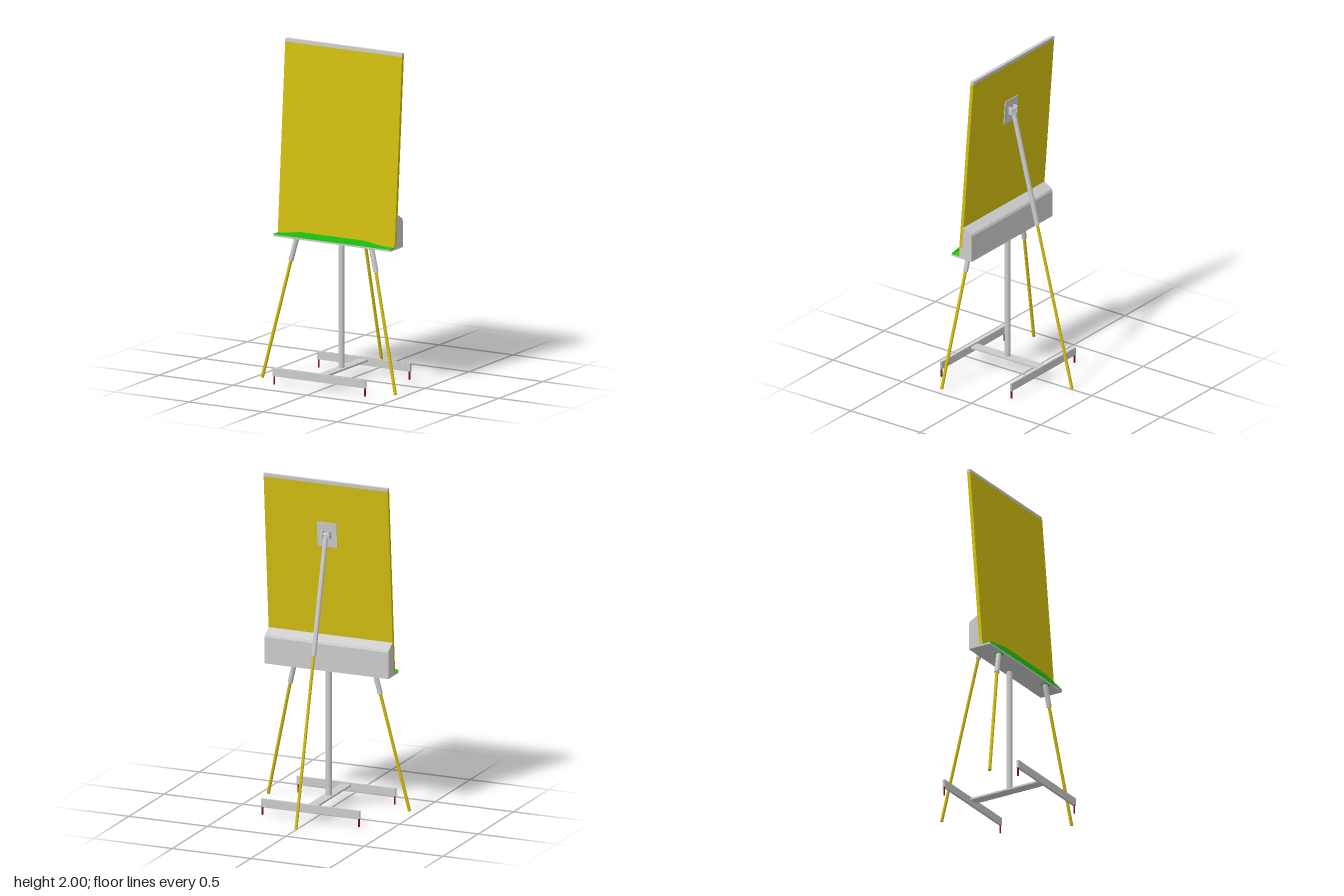
import * as THREE from 'three';

const mat = (color) => new THREE.MeshStandardMaterial({ color, side: THREE.DoubleSide });

export function createModel() {
  const model = new THREE.Group();
  const grey = mat(0xcccccc), yellow = mat(0xd2be10), green = mat(0x20d010), red = mat(0x8a1010);
  const W = 0.79;

  const add = (name, geometry, material) => {
    const mesh = new THREE.Mesh(geometry, material);
    mesh.name = name;
    model.add(mesh);
    return mesh;
  };
  const box = (name, material, w, h, d, x, y, z) =>
    add(name, new THREE.BoxGeometry(w, h, d).translate(x, y, z), material);
  // Side profile given as [z, y] pairs, swept across x
  const sweep = (name, material, points, width) => {
    const shape = new THREE.Shape(points.map(([z, y]) => new THREE.Vector2(z, y)));
    const g = new THREE.ExtrudeGeometry(shape, { depth: width, bevelEnabled: false });
    return add(name, g.rotateY(-Math.PI / 2).translate(width / 2, 0, 0), material);
  };
  // Round bar between two points
  const rod = (name, material, a, b, r) => {
    const from = new THREE.Vector3(...a), to = new THREE.Vector3(...b);
    const dir = to.clone().sub(from);
    const mesh = add(name, new THREE.CylinderGeometry(r, r, dir.length(), 24), material);
    mesh.position.copy(from).add(to).multiplyScalar(0.5);
    mesh.quaternion.setFromUnitVectors(new THREE.Vector3(0, 1, 0), dir.normalize());
    return mesh;
  };

  // Leaning board: front face z at a given height
  const front = (y) => 0.169 - (y - 0.86) * 0.0754;
  const T = 0.021;
  const slab = (y0, y1, t0, t1) => [
    [front(y0) - t0, y0], [front(y1) - t0, y1], [front(y1) - t1, y1], [front(y0) - t1, y0]];
  sweep('board', yellow, slab(0.86, 1.98, 0, T), W);
  sweep('topRail', grey, slab(1.98, 2.0, 0, T), W);

  // Housing behind the lower edge of the board
  sweep('rearHousing', grey, [
    [0.165, 0.845], [front(1.05) - 0.012, 1.05], [0.135, 1.05], [0.082, 1.018],
    [0.075, 1.005], [0.075, 0.845]], W);

  // Pen tray with a raised lip
  box('trayBase', grey, W, 0.011, 0.06, 0, 0.8505, 0.19);
  box('trayLiner', green, W - 0.004, 0.005, 0.05, 0, 0.858, 0.188);
  const lip = new THREE.Shape([[-0.393, 0.856], [0.393, 0.856], [0.393, 0.862], [0.22, 0.89],
    [-0.22, 0.89], [-0.393, 0.862]].map((p) => new THREE.Vector2(...p)));
  add('trayLip', new THREE.ExtrudeGeometry(lip, { depth: 0.008, bevelEnabled: false })
    .translate(0, 0, 0.212), green);

  // Splayed front legs
  for (const s of [-1, 1]) {
    const joint = [s * 0.287, 0.71, 0.2];
    box('legSocket', green, 0.05, 0.004, 0.04, s * 0.252, 0.844, 0.192);
    rod('frontLegSleeve', grey, [s * 0.252, 0.85, 0.192], joint, 0.015);
    rod('frontLeg', yellow, joint, [s * 0.45, 0.004, 0.252], 0.0095);
  }

  // Rear leg hinged on the back of the board
  const hinge = [0, 1.67, 0.066], rearJoint = [0, 0.985, -0.107];
  sweep('hingePlate', grey, slab(1.595, 1.745, T - 0.002, T + 0.005), 0.125);
  for (const s of [-1, 1]) {
    box('hingeLug', grey, 0.01, 0.046, 0.034, s * 0.022, 1.675, 0.068);
  }
  rod('hingePin', grey, [-0.03, 1.675, 0.066], [0.03, 1.675, 0.066], 0.01);
  rod('rearLegSleeve', grey, hinge, rearJoint, 0.0145);
  rod('rearLeg', yellow, rearJoint, [0, 0.003, -0.358], 0.009);

  // Centre post on an H-shaped base with small feet
  rod('post', grey, [0, 0.08, 0.108], [0, 0.85, 0.108], 0.018);
  box('baseCrossbar', grey, 0.062, 0.011, 0.5, 0, 0.082, 0.105);
  for (const z of [0.358, -0.148]) {
    box('baseBeam', grey, 0.63, 0.048, 0.014, 0, 0.073, z);
    for (const s of [-1, 1]) rod('foot', red, [s * 0.307, 0, z], [s * 0.307, 0.05, z], 0.005);
  }
  return model;
}
